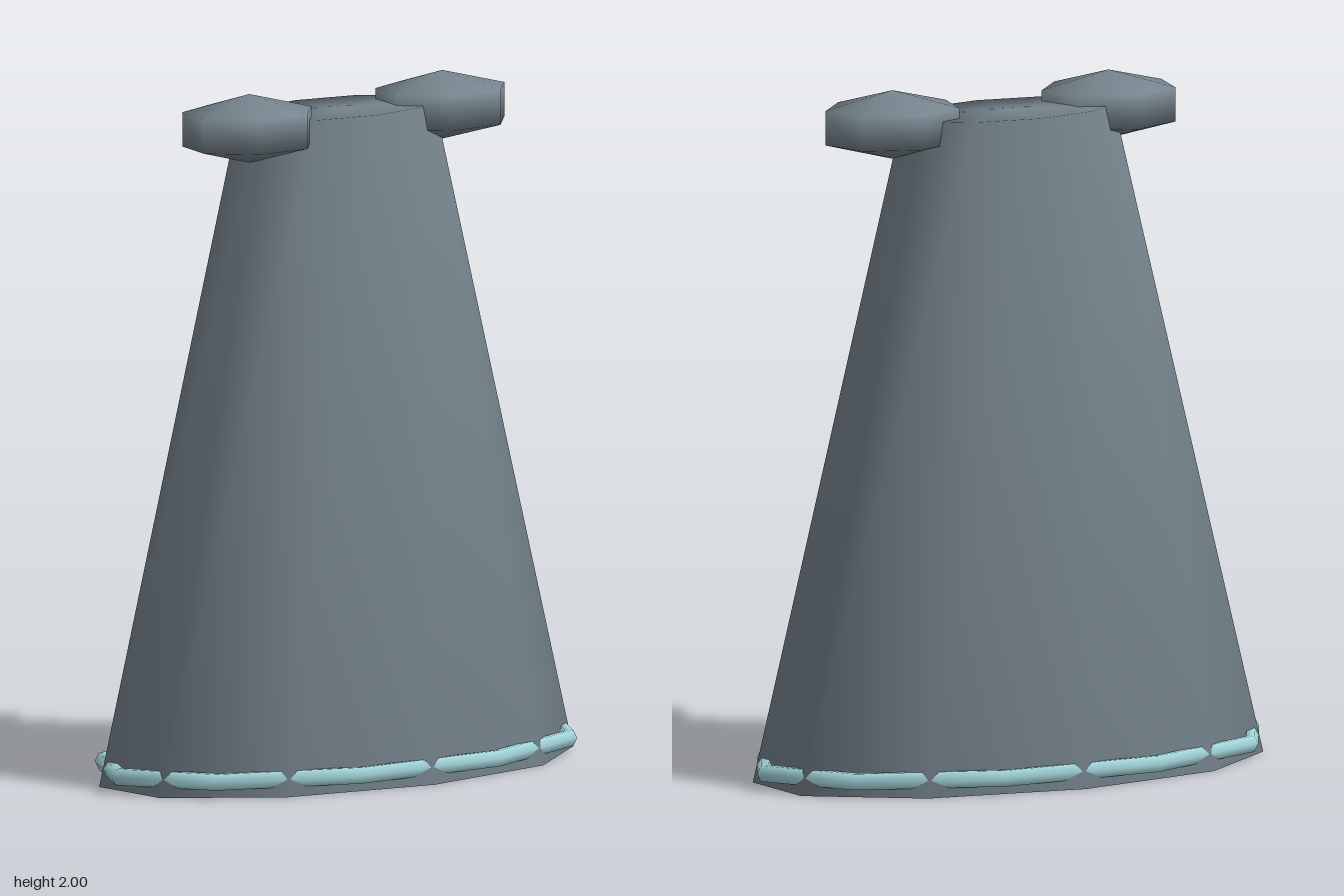
import * as THREE from 'three';
import { mergeVertices } from 'three/addons/utils/BufferGeometryUtils.js';

const DEPTH = 0.55; // z squash of the oval outline

const cloth = new THREE.MeshStandardMaterial({ color: 0x78868f });
const trim = new THREE.MeshStandardMaterial({ color: 0xa5d8dd });

// Weld shared corners so the shading runs smoothly over every edge
function weld(geometry) {
  geometry.deleteAttribute('uv');
  geometry.deleteAttribute('normal');
  const welded = mergeVertices(geometry, 1e-4);
  welded.computeVertexNormals();
  return welded;
}

function addPart(group, name, geometry, material) {
  const mesh = new THREE.Mesh(geometry, material);
  mesh.name = name;
  group.add(mesh);
  return mesh;
}

export function createModel() {
  const model = new THREE.Group();
  model.name = 'cloak';

  // Tapered oval body, closed at both ends
  const body = new THREE.CylinderGeometry(0.335, 0.81, 1.92, 10, 1);
  body.scale(1, 1, DEPTH).translate(0, 0.96, 0);
  addPart(model, 'cloakBody', weld(body), cloth);

  // Hem band, its corners offset half a side from those of the body
  const hem = new THREE.TorusGeometry(0.81, 0.027, 6, 10);
  hem.rotateX(Math.PI / 2).scale(1, 1, DEPTH).translate(0, 0.05, 0);
  addPart(model, 'hemTrim', weld(hem), trim);

  // Seven-sided shoulder pads, one corner pointing back
  for (const [side, name] of [[1, 'leftShoulderPad'], [-1, 'rightShoulderPad']]) {
    const pad = new THREE.SphereGeometry(1, 7, 3);
    pad.rotateY(-Math.PI / 2).scale(0.237, 0.1, 0.2);
    addPart(model, name, weld(pad), cloth).position.set(side * 0.36, 1.9, 0.044);
  }

  return model;
}
